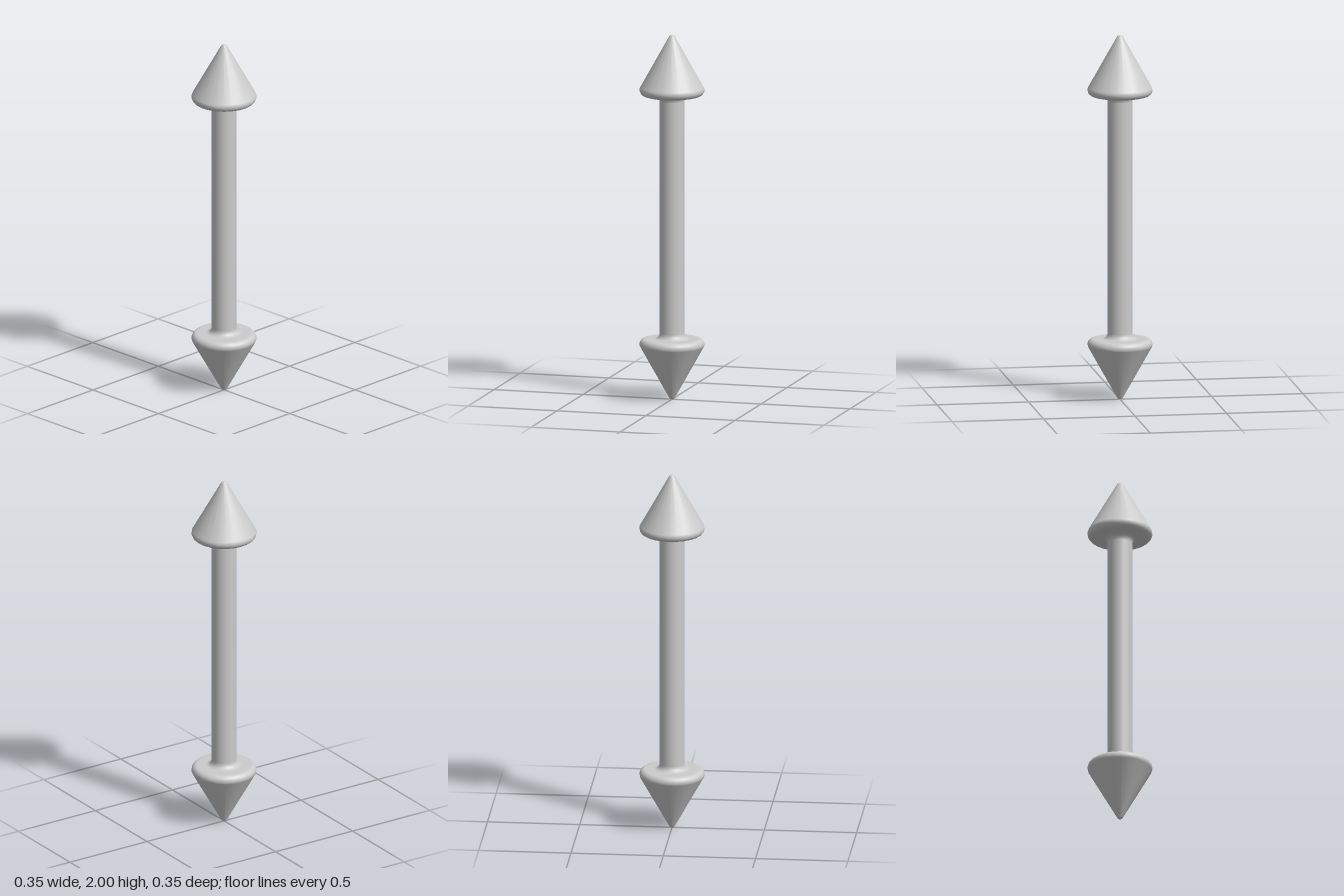
import * as THREE from 'three';

const SIDES = 24;
const SHAFT_RADIUS = 0.067;
const HEAD_RADIUS = 0.176;
const HEAD_HEIGHT = 0.333;
const TIP_ROUND = 0.018;
const RIM_ROUND = 0.03;
const FILLET = 0.03;

// Points along a circular arc, angles in degrees from the +x direction
function arc(cx, cy, r, from, to, steps) {
  const points = [];
  for (let i = 0; i <= steps; i++) {
    const a = THREE.MathUtils.degToRad(from + ((to - from) * i) / steps);
    points.push(new THREE.Vector2(Math.max(0, cx + r * Math.cos(a)), cy + r * Math.sin(a)));
  }
  return points;
}

// Cone with a rounded tip, a rounded rim and a fillet into the shaft
function arrowheadGeometry() {
  const profile = [
    ...arc(0, TIP_ROUND, TIP_ROUND, -90, -29, 6),
    ...arc(HEAD_RADIUS - RIM_ROUND, HEAD_HEIGHT - RIM_ROUND, RIM_ROUND, -29, 90, 9),
    ...arc(SHAFT_RADIUS + FILLET, HEAD_HEIGHT + FILLET, FILLET, 270, 180, 6),
  ];
  return new THREE.LatheGeometry(profile, SIDES);
}

export function createModel() {
  const model = new THREE.Group();
  model.name = 'doubleArrow';
  const material = new THREE.MeshStandardMaterial({ color: 0xcccccc });

  // Shaft between the two fillets
  const shaftEnd = HEAD_HEIGHT + FILLET;
  const shaft = new THREE.Mesh(
    new THREE.CylinderGeometry(SHAFT_RADIUS, SHAFT_RADIUS, 2 - 2 * shaftEnd, SIDES, 1, true),
    material
  );
  shaft.name = 'shaft';
  shaft.position.y = 1;
  model.add(shaft);

  // Arrowheads: one pointing down, one turned over to point up
  const headGeometry = arrowheadGeometry();
  const lowerHead = new THREE.Mesh(headGeometry, material);
  lowerHead.name = 'lowerArrowhead';
  const upperHead = new THREE.Mesh(headGeometry, material);
  upperHead.name = 'upperArrowhead';
  upperHead.rotation.x = Math.PI;
  upperHead.position.y = 2;
  model.add(lowerHead, upperHead);

  return model;
}
